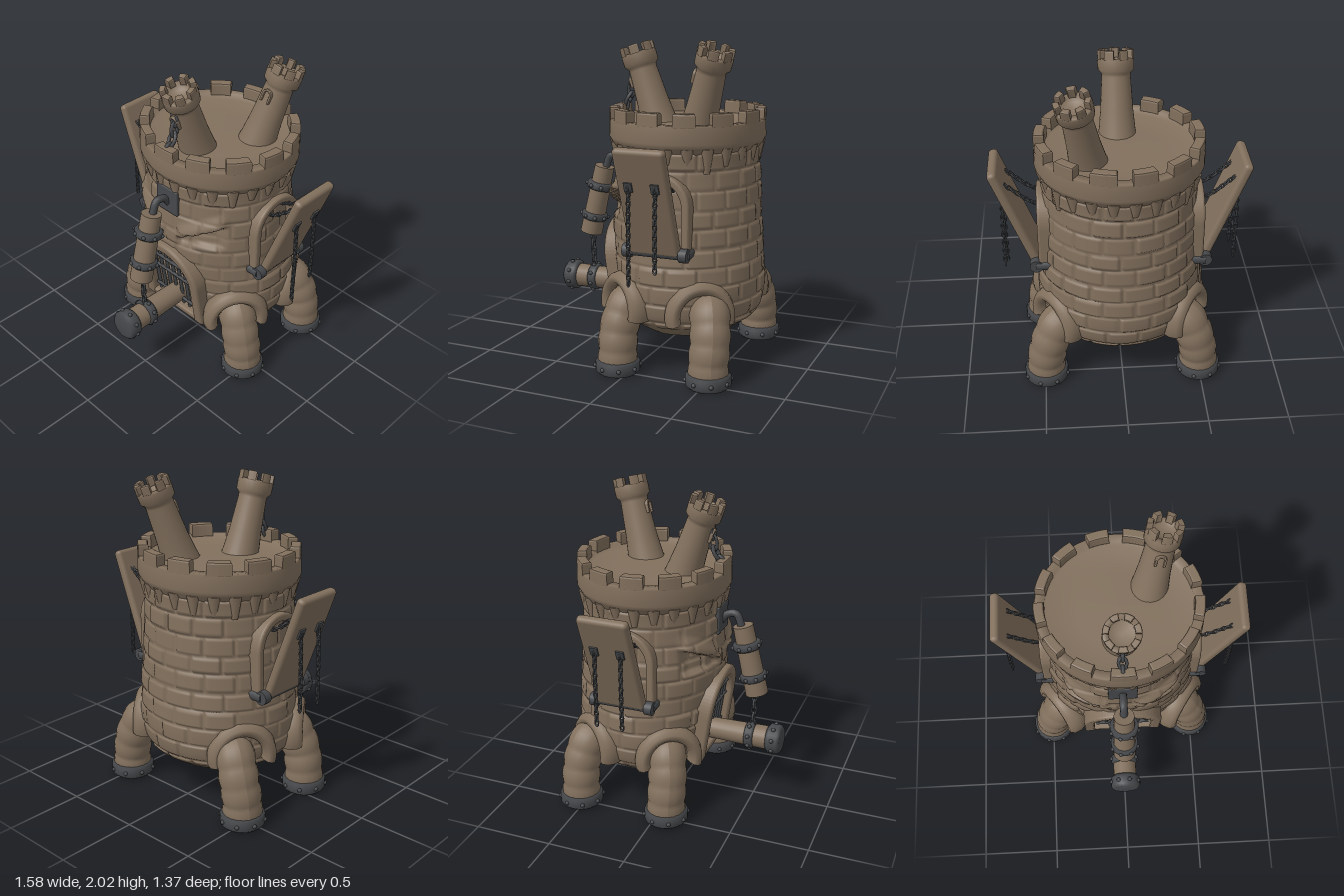
import * as THREE from 'three';
import { mergeGeometries } from 'three/addons/utils/BufferGeometryUtils.js';
import { RoundedBoxGeometry } from 'three/addons/geometries/RoundedBoxGeometry.js';
import { ParametricGeometry } from 'three/addons/geometries/ParametricGeometry.js';

const V = (x, y, z) => new THREE.Vector3(x, y, z);
const UP = V(0, 1, 0);
const CZ = -0.19, ZS = 0.94; // keep centre and front-to-back squash
const stone = new THREE.MeshStandardMaterial({ color: 0x82705d });
stone.name = 'stone';
const iron = new THREE.MeshStandardMaterial({ color: 0x46484b });
iron.name = 'iron';

const hash = (a, b) => { const s = Math.sin(a * 127.1 + b * 311.7) * 43758.5; return s - Math.floor(s); };
const smooth = THREE.MathUtils.smoothstep;

function add(parent, name, geo, mat, x = 0, y = 0, z = 0) {
  const m = new THREE.Mesh(geo, mat);
  m.name = name;
  m.position.set(x, y, z);
  parent.add(m);
  return m;
}

// cylinder between two points
function rod(parent, name, a, b, r0, r1, mat, sides = 20) {
  const m = add(parent, name, new THREE.CylinderGeometry(r1, r0, a.distanceTo(b), sides), mat);
  m.position.copy(a).lerp(b, 0.5);
  m.quaternion.setFromUnitVectors(UP, b.clone().sub(a).normalize());
  return m;
}

// chain of alternating links along a path
function chain(parent, name, pts, size = 0.04) {
  const curve = new THREE.CatmullRomCurve3(pts);
  const n = Math.max(2, Math.round(curve.getLength() / (size * 0.8)));
  const links = [];
  for (let i = 0; i <= n; i++) {
    const g = new THREE.TorusGeometry(size * 0.36, size * 0.15, 6, 10);
    g.scale(0.8, 1.4, 1);
    g.rotateY(i % 2 ? Math.PI / 2 : 0.1);
    g.applyQuaternion(new THREE.Quaternion().setFromUnitVectors(UP, curve.getTangentAt(i / n)));
    const p = curve.getPointAt(i / n);
    links.push(g.translate(p.x, p.y, p.z));
  }
  add(parent, name, mergeGeometries(links), iron);
}

// iron band with studs around its rim, axis along y
function band(parent, name, r, h) {
  const b = h * 0.2;
  const prof = [[0, -h / 2], [r - b, -h / 2], [r, -h / 2 + b], [r, h / 2 - b], [r - b, h / 2], [0, h / 2]];
  const parts = [new THREE.LatheGeometry(prof.map(p => new THREE.Vector2(...p)), 28)];
  for (let i = 0; i < 8; i++) {
    const a = i * Math.PI / 4 + 0.3;
    parts.push(new THREE.SphereGeometry(0.014, 8, 6).translate(Math.cos(a) * r, 0, Math.sin(a) * r));
  }
  return add(parent, name, mergeGeometries(parts), iron);
}

// ring of battlement blocks
function merlons(parent, r0, r1, h, count, fill, y, bevel) {
  for (let i = 0; i < count; i++) {
    const a0 = (i - fill / 2) / count * Math.PI * 2 - Math.PI / 2;
    const a1 = a0 + fill * (0.9 + 0.2 * hash(i, 3)) / count * Math.PI * 2;
    const s = new THREE.Shape();
    s.absarc(0, 0, r1, a0, a1, false);
    s.absarc(0, 0, r0, a1, a0, true);
    const g = new THREE.ExtrudeGeometry(s, { depth: h - bevel, bevelThickness: bevel, bevelSize: bevel, bevelOffset: -bevel, bevelSegments: 2, curveSegments: 6 });
    add(parent, 'merlon', g.rotateX(-Math.PI / 2), stone, 0, y, 0);
  }
}

// arched stone surround, opening faces +z
function archFrame(W, w, H, depth) {
  const s = new THREE.Shape();
  s.moveTo(-W, 0).lineTo(-W, H);
  s.absarc(0, H, W, Math.PI, 0, true);
  s.lineTo(W, 0).lineTo(w, 0).lineTo(w, H);
  s.absarc(0, H, w, 0, Math.PI, false);
  s.lineTo(-w, 0);
  const b = Math.min(0.018, (W - w) * 0.3);
  return new THREE.ExtrudeGeometry(s, { depth, bevelThickness: b, bevelSize: b, bevelOffset: -b, bevelSegments: 3, curveSegments: 18 });
}

// walls with stone courses, carved eyes and recessed doorways
function wallGeometry() {
  const profile = new THREE.SplineCurve([[0.32, 0.22], [0.42, 0.28], [0.495, 0.36], [0.52, 0.5], [0.515, 0.65], [0.5, 0.85], [0.485, 1.1], [0.475, 1.28], [0.485, 1.42]]
    .map(p => new THREE.Vector2(...p)));
  return new ParametricGeometry((u, v, out) => {
    const a = u * Math.PI * 2 + Math.PI, p = profile.getPoint(v), y = p.y;
    const sin = Math.sin(a), cos = Math.cos(a);
    let r = p.x;
    const front = Math.max(0, cos);
    r *= 1 - 0.25 * front ** 2 * (1 - smooth(y, 0.2, 1.0));
    const row = Math.floor(y / 0.115), fy = y / 0.115 - row;
    const c = (u * 16 + (row % 2) * 0.5 + hash(row, 9) * 0.3 + 16) % 16, col = Math.floor(c), fx = c - col;
    const edge = smooth(Math.min(fy, 1 - fy) * 0.115, 0, 0.018) * smooth(Math.min(fx, 1 - fx) * 0.19, 0, 0.02);
    const x = r * sin, ax = Math.abs(x), sz = r * cos * ZS + CZ + 0.2;
    if (y > 0.3) r += (0.004 + 0.013 * hash(row, col)) * edge - 0.007;
    if (front > 0.3) {
      const brow = 0.99 + (ax - 0.1) * 0.5, low = 0.95 + (ax - 0.2) * 0.1;
      const span = smooth(ax, 0.07, 0.12) * (1 - smooth(ax, 0.31, 0.38));
      r -= 0.045 * span * smooth(y, low - 0.02, low + 0.02) * (1 - smooth(y, brow - 0.015, brow + 0.01));
      r += 0.03 * span * smooth(y, brow - 0.01, brow + 0.02) * (1 - smooth(y, brow + 0.03, brow + 0.12));
      if (Math.hypot(ax, Math.max(0, y - 0.64)) < 0.215 && y > 0.35) r -= 0.07;
    }
    if (Math.abs(sin) > 0.6 && Math.hypot(sz, Math.max(0, y - 1.06)) < 0.16 && y > 0.8) r -= 0.05;
    out.set(r * sin, y, r * cos * ZS + CZ);
  }, 190, 120);
}

function tower(parent, name, base, top) {
  const g = new THREE.Group();
  g.name = name;
  g.position.copy(base);
  g.quaternion.setFromUnitVectors(UP, top.clone().sub(base).normalize());
  parent.add(g);
  const h = base.distanceTo(top);
  const prof = [[0.125, -0.05], [0.112, 0.04], [0.1, 0.16], [0.088, h - 0.16], [0.09, h - 0.14], [0.11, h - 0.12], [0.112, h - 0.06], [0.105, h - 0.05], [0.075, h - 0.05], [0.07, h - 0.09], [0, h - 0.09]];
  add(g, 'turret', new THREE.LatheGeometry(prof.map(p => new THREE.Vector2(...p)), 28), stone);
  merlons(g, 0.072, 0.11, 0.055, 7, 0.62, h - 0.055, 0.008);
  add(g, 'turretWindow', archFrame(0.034, 0.02, 0.05, 0.02), stone, 0, h - 0.25, 0.08);
  return g;
}

function leg(parent, s, zf) {
  const front = zf > CZ ? 1 : -1;
  const pts = [V(s * 0.28, 0.46, zf - front * 0.1), V(s * 0.4, 0.42, zf - front * 0.03), V(s * 0.465, 0.28, zf), V(s * 0.49, 0.14, zf), V(s * 0.492, 0.03, zf)];
  const curve = new THREE.CatmullRomCurve3(pts), n = 40, sides = 20;
  const geo = new THREE.TubeGeometry(curve, n, 0.122, sides);
  const pos = geo.attributes.position, p = V(0, 0, 0);
  for (let i = 0; i < pos.count; i++) {
    const ring = Math.floor(i / (sides + 1)), c = curve.getPointAt(ring / n);
    const f = 0.95 + 0.06 * Math.abs(Math.sin(ring / n * Math.PI * 5));
    p.fromBufferAttribute(pos, i).sub(c).multiplyScalar(f).add(c);
    pos.setXYZ(i, p.x, p.y, p.z);
  }
  geo.computeVertexNormals();
  add(parent, 'leg', geo, stone);
  band(parent, 'foot', 0.138, 0.09).position.set(s * 0.492, 0.045, zf);
  // hood over the hip
  const hood = new THREE.TorusGeometry(0.16, 0.045, 10, 28, Math.PI * 1.16).rotateZ(-0.25).scale(1.05, 1.08, 1.7);
  add(parent, 'hipHood', hood, stone, s * 0.405, 0.4, CZ + front * 0.245).rotation.y = Math.atan2(s * 0.82, front * 0.57);
}

function drawbridge(parent, s) {
  const frame = add(parent, 'sideDoorFrame', archFrame(0.2, 0.15, 0.26, 0.08), stone, s * 0.415, 0.8, -0.2);
  frame.rotation.y = s * Math.PI / 2;
  const plank = add(parent, 'drawbridge', new RoundedBoxGeometry(0.06, 0.7, 0.32, 3, 0.025), stone, s * 0.645, 1.11, -0.2);
  plank.rotation.z = -s * 0.36;
  rod(parent, 'hinge', V(s * 0.525, 0.79, -0.39), V(s * 0.525, 0.79, -0.01), 0.028, 0.028, iron);
  for (const z of [-0.38, -0.02]) {
    rod(parent, 'hingeKnob', V(s * 0.525, 0.79, z - 0.025), V(s * 0.525, 0.79, z + 0.025), 0.042, 0.042, iron);
    rod(parent, 'hingeMount', V(s * 0.4, 0.79, z), V(s * 0.525, 0.79, z), 0.035, 0.035, iron);
  }
  for (const [z, low] of [[-0.115, s > 0 ? 0.65 : 0.74], [-0.28, 0.74]]) {
    chain(parent, 'innerChain', [V(s * 0.46, 1.16, z), V(s * 0.56, 1.21, z), V(s * 0.69, 1.32, z)]);
    chain(parent, 'hangingChain', [V(s * 0.715, 1.21, z), V(s * 0.72, 1, z), V(s * 0.72, low, z)]);
    const bracket = add(parent, 'chainBracket', new THREE.BoxGeometry(0.02, 0.06, 0.05), iron, s * 0.715, 1.21, z);
    bracket.rotation.z = -s * 0.36;
  }
}

export function createModel() {
  const model = new THREE.Group();
  model.name = 'walkingCastle';

  // keep
  add(model, 'walls', wallGeometry(), stone);
  const base = add(model, 'underside', new THREE.CircleGeometry(0.325, 40).rotateX(Math.PI / 2), iron, 0, 0.222, CZ - 0.02);
  base.scale.z = 0.88;

  // battlements and roof
  const crown = new THREE.Group();
  crown.name = 'battlements';
  crown.position.z = CZ;
  crown.scale.z = ZS;
  model.add(crown);
  const ring = [[0.465, 1.35], [0.5, 1.4], [0.515, 1.43], [0.512, 1.53], [0.505, 1.54], [0.45, 1.54], [0.445, 1.5], [0.25, 1.505], [0, 1.51]];
  add(crown, 'parapetAndRoof', new THREE.LatheGeometry(ring.map(p => new THREE.Vector2(...p)), 64), stone);
  merlons(crown, 0.447, 0.512, 0.08, 13, 0.62, 1.53, 0.012);
  for (let i = 0; i < 24; i++) {
    const a = (i + 0.5) * Math.PI / 12, h = 0.09 + 0.06 * hash(i, 5);
    const c = add(crown, 'corbel', new THREE.CylinderGeometry(0.05, 0.022, h, 8), stone, Math.sin(a) * 0.462, 1.4 - h / 2, Math.cos(a) * 0.462);
    c.rotation.y = a;
  }
  tower(model, 'frontTower', V(0, 1.48, 0), V(0, 1.975, 0.165));
  tower(model, 'backTower', V(0.19, 1.48, -0.33), V(0.28, 1.985, -0.48));
  chain(model, 'towerChain', [V(0, 1.77, 0.19), V(0, 1.67, 0.2), V(0, 1.58, 0.25)], 0.085);

  // legs and drawbridges
  for (const s of [1, -1]) {
    leg(model, s, 0.07);
    leg(model, s, -0.525);
    drawbridge(model, s);
  }

  // gate
  const gate = new THREE.Group();
  gate.name = 'gate';
  gate.position.set(0, 0.33, 0.13);
  gate.rotation.x = 0.15;
  model.add(gate);
  add(gate, 'gateArch', archFrame(0.26, 0.19, 0.31, 0.08), stone);
  add(gate, 'gateSill', new RoundedBoxGeometry(0.42, 0.05, 0.1, 2, 0.015), stone, 0, 0.02, 0.04);
  for (let i = 0; i < 7; i++) {
    const x = (i - 3) * 0.055;
    rod(gate, 'gateBar', V(x, 0.02, 0.045), V(x, 0.31 + Math.sqrt(0.2 ** 2 - x * x), 0.045), 0.012, 0.012, iron, 8);
  }
  for (const y of [0.1, 0.3, 0.4]) rod(gate, 'gateCrossBar', V(-0.18, y, 0.055), V(0.18, y, 0.055), 0.012, 0.012, iron, 8);

  // battering ram
  rod(model, 'ramShaft', V(0, 0.435, 0.08), V(0, 0.43, 0.62), 0.066, 0.078, stone);
  for (const [name, r, h, z] of [['ramHead', 0.097, 0.095, 0.63], ['ramBand', 0.088, 0.06, 0.47]]) {
    const b = band(model, name, r, h);
    b.position.set(0, 0.432, z);
    b.rotation.x = Math.PI / 2;
  }
  chain(model, 'ramChain', [V(0, 0.75, 0.485), V(0, 0.63, 0.485), V(0, 0.52, 0.48)], 0.055);

  // nose log hanging from a wall plate
  add(model, 'nosePlate', new RoundedBoxGeometry(0.18, 0.18, 0.04, 2, 0.01), iron, 0, 1.23, 0.25);
  const hook = new THREE.CatmullRomCurve3([V(0, 1.2, 0.25), V(0, 1.25, 0.29), V(0, 1.26, 0.35), V(0, 1.17, 0.39)]);
  add(model, 'noseHook', new THREE.TubeGeometry(hook, 16, 0.024, 10), iron);
  const top = V(0, 1.19, 0.395), end = V(0, 0.74, 0.5);
  const log = rod(model, 'noseLog', end, top, 0.073, 0.064, stone);
  for (const [t, r] of [[0.27, 0.09], [0.75, 0.086]]) {
    const b = band(model, 'noseBand', r, 0.05);
    b.position.copy(top).lerp(end, t);
    if (t < 0.5) b.position.lerp(end, 0.02); 
    else b.position.lerp(top, 0.01);
    b.quaternion.copy(log.quaternion);
  }
  return model;
}
